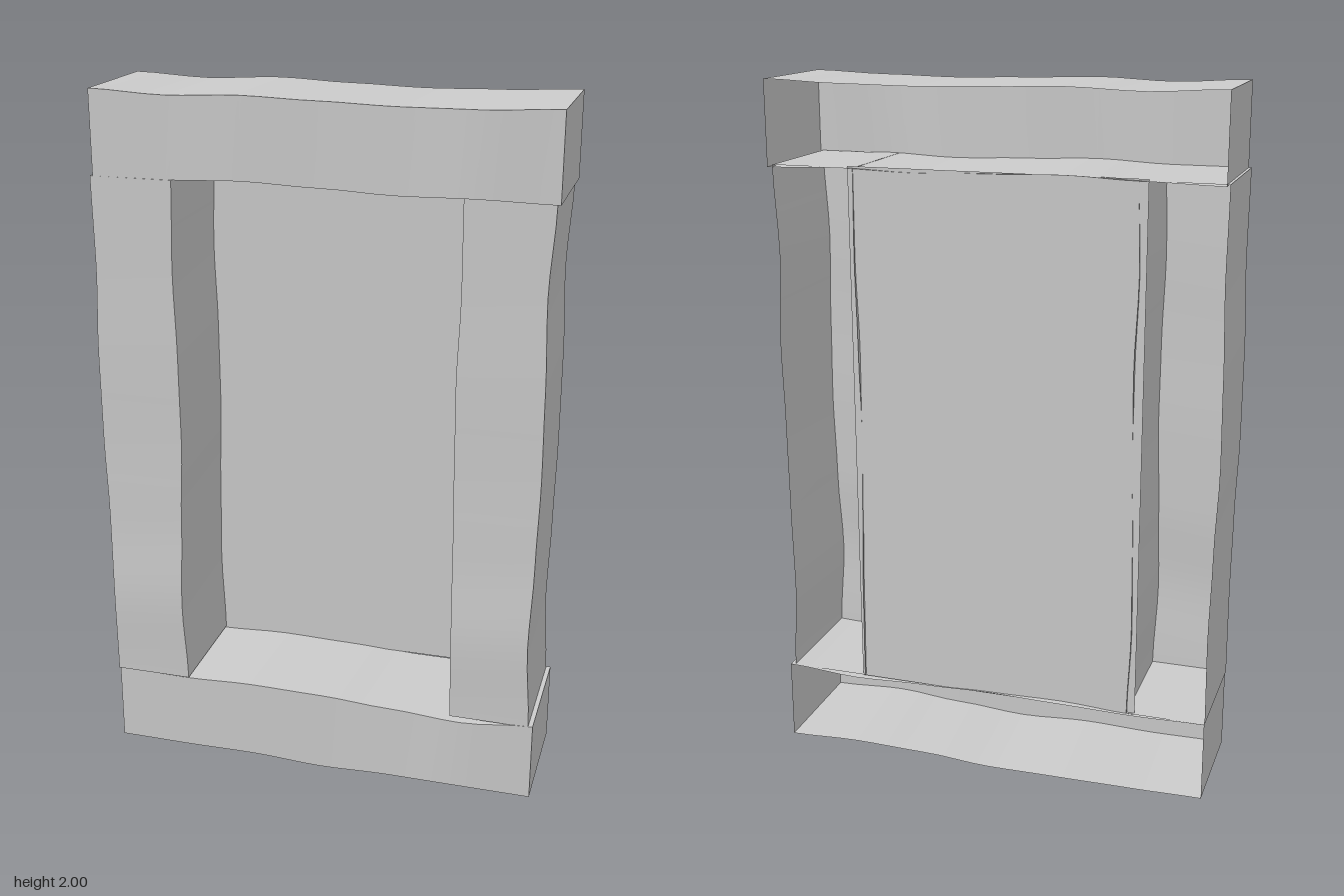
import * as THREE from 'three';

// smooth interpolation through evenly spaced values, t in 0..1
function wave(values, t) {
  const s = Math.min(Math.max(t, 0), 1) * (values.length - 1);
  const i = Math.min(Math.floor(s), values.length - 2);
  return THREE.MathUtils.lerp(values[i], values[i + 1], THREE.MathUtils.smoothstep(s - i, 0, 1));
}

// wavy board, hollow and open at the back, running along x or y from start to end
function plank(name, axis, start, end, low, high, front, back, material) {
  const alongX = axis === 'x';
  const geo = new THREE.BoxGeometry(1, 1, 1, alongX ? 24 : 1, alongX ? 1 : 24, 1);
  // drop the rear face
  const rear = geo.groups[5];
  geo.setIndex(Array.from(geo.index.array).slice(0, rear.start));
  geo.clearGroups();
  const p = geo.attributes.position;
  for (let i = 0; i < p.count; i++) {
    const t = (alongX ? p.getX(i) : p.getY(i)) + 0.5;
    const side = alongX ? p.getY(i) : p.getX(i);
    const along = THREE.MathUtils.lerp(start, end, t);
    const across = wave(side > 0 ? high : low, t);
    const z = wave(p.getZ(i) > 0 ? front : back, t);
    if (alongX) p.setXYZ(i, along, across, z);
    else p.setXYZ(i, across, along, z);
  }
  geo.computeVertexNormals();
  const mesh = new THREE.Mesh(geo, material);
  mesh.name = name;
  return mesh;
}

export function createModel() {
  const group = new THREE.Group();
  group.name = 'windowFrame';
  const material = new THREE.MeshStandardMaterial({ color: 0xcccccc, side: THREE.DoubleSide });

  // depth waviness shared by all boards
  const front = [0.17, 0.168, 0.17, 0.168, 0.172, 0.184, 0.175];
  const back = [-0.175, -0.178, -0.188, -0.175, -0.171, -0.178, -0.183];
  const postFront = [...front].reverse();
  const postBack = [-0.176, -0.177, -0.172, -0.167, -0.182, -0.175, -0.171];

  // top and bottom beams
  group.add(plank('topBeam', 'x', -0.632, 0.643,
    [1.76, 1.765, 1.773, 1.766, 1.759, 1.765, 1.76],
    [2, 1.99, 1.998, 1.992, 1.987, 1.99, 1.998], front, back, material));
  group.add(plank('bottomBeam', 'x', -0.632, 0.643,
    [0.008, 0.006, 0.01, 0, 0.01, 0.018, 0.012],
    [0.243, 0.24, 0.249, 0.245, 0.237, 0.233, 0.248], front, back, material));

  // side posts
  group.add(plank('rightPost', 'y', 0.245, 1.765,
    [-0.634, -0.632, -0.637, -0.645, -0.645, -0.638, -0.64],
    [-0.407, -0.416, -0.412, -0.404, -0.405, -0.412, -0.405], postFront, postBack, material));
  group.add(plank('leftPost', 'y', 0.245, 1.765,
    [0.4, 0.398, 0.394, 0.39, 0.388, 0.395, 0.394],
    [0.63, 0.618, 0.625, 0.63, 0.628, 0.621, 0.634], postFront, postBack, material));

  // flat panel closing the opening at the back
  const panel = new THREE.Mesh(new THREE.PlaneGeometry(0.84, 1.53), material);
  panel.name = 'backPanel';
  panel.position.set(-0.01, 1.005, -0.168);
  group.add(panel);

  return group;
}
